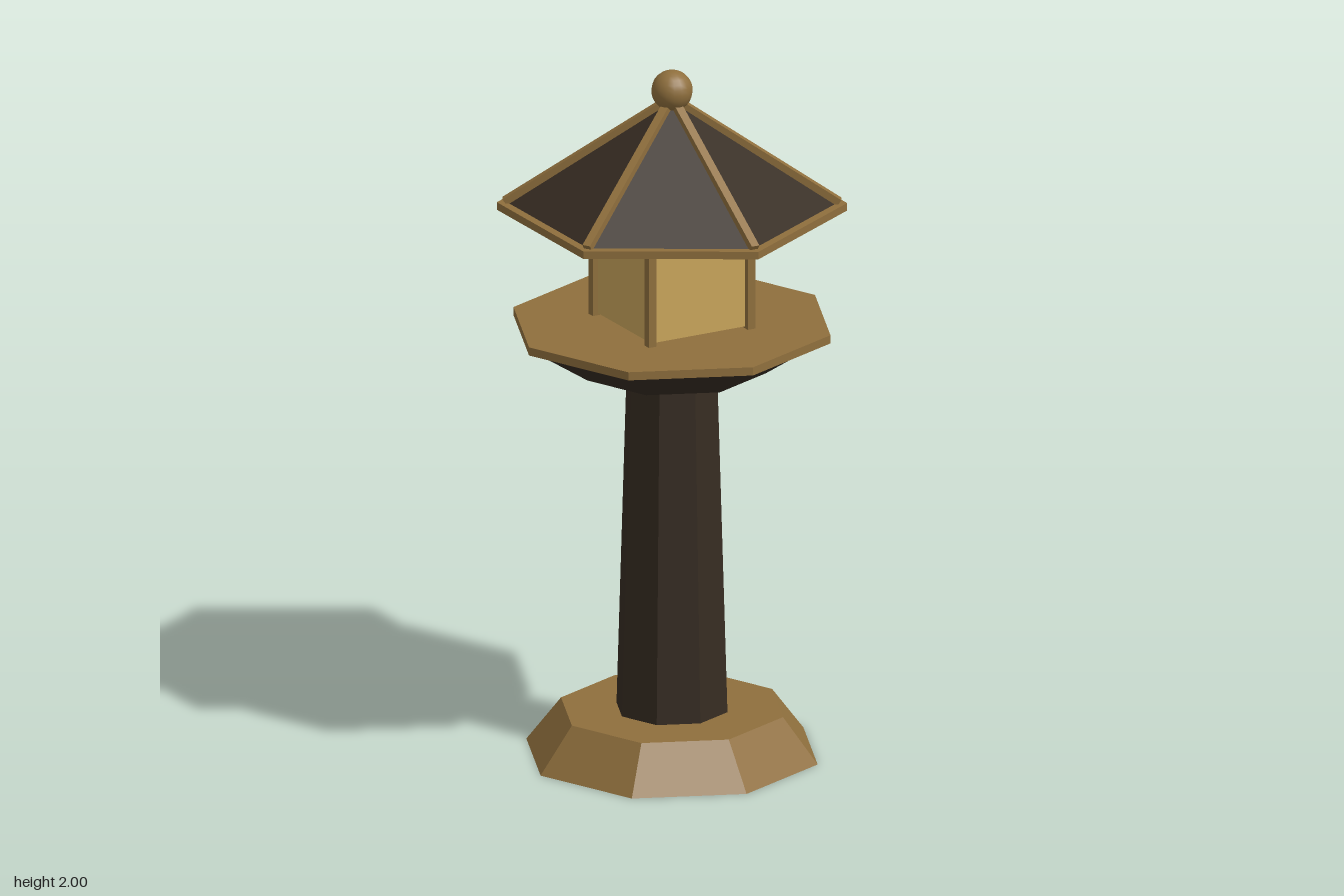
import * as THREE from 'three';

export function createModel() {
  const model = new THREE.Group();
  const paint = (name, color) => {
    const m = new THREE.MeshStandardMaterial({ color });
    m.name = name;
    return m;
  };
  const bronze = paint('bronze', 0x8f6f3d);
  const darkWood = paint('dark wood', 0x362c22);
  const glow = paint('warm glass', 0xc9a55b);

  const add = (name, geometry, material, x = 0, y = 0, z = 0) => {
    const mesh = new THREE.Mesh(geometry, material);
    mesh.name = name;
    mesh.position.set(x, y, z);
    model.add(mesh);
    return mesh;
  };

  // Flat-sided prism or frustum standing between two heights
  const prism = (name, sides, rBottom, rTop, y0, y1, material) => {
    const g = new THREE.CylinderGeometry(rTop, rBottom, y1 - y0, sides).toNonIndexed();
    g.computeVertexNormals();
    return add(name, g, material, 0, (y0 + y1) / 2, 0);
  };

  // Octagonal foot, column and platform
  prism('base', 8, 0.42, 0.32, 0, 0.13, bronze);
  prism('column', 8, 0.16, 0.13, 0.13, 1.14, darkWood);
  prism('platformBowl', 8, 0.27, 0.435, 1.135, 1.242, darkWood);
  prism('platformRim', 8, 0.457, 0.457, 1.24, 1.264, bronze);

  // Lantern box with glowing panes and corner posts
  add('lanternGlass', new THREE.BoxGeometry(0.306, 0.315, 0.306), glow, 0, 1.427, 0);
  for (const x of [-1, 1]) {
    for (const z of [-1, 1]) {
      add('lanternPost', new THREE.BoxGeometry(0.024, 0.33, 0.024), bronze, x * 0.158, 1.428, z * 0.158);
    }
  }

  // Hexagonal roof
  prism('eaves', 6, 0.487, 0.487, 1.59, 1.612, bronze);
  prism('roof', 6, 0.46, 0.003, 1.611, 1.915, darkWood);

  // Ribs along the roof edges
  const low = [0.465, 1.615], high = [0.01, 1.913];
  const run = low[0] - high[0], rise = high[1] - low[1];
  for (let i = 0; i < 6; i++) {
    const rib = new THREE.BoxGeometry(0.024, 0.022, Math.hypot(run, rise));
    rib.rotateX(Math.atan2(rise, run));
    rib.translate(0, (low[1] + high[1]) / 2, (low[0] + high[0]) / 2);
    rib.rotateY(i * Math.PI / 3);
    add('roofRib', rib, bronze);
  }

  // Ball on the peak
  add('finial', new THREE.SphereGeometry(0.058, 16, 12), bronze, 0, 1.942, 0);

  return model;
}
